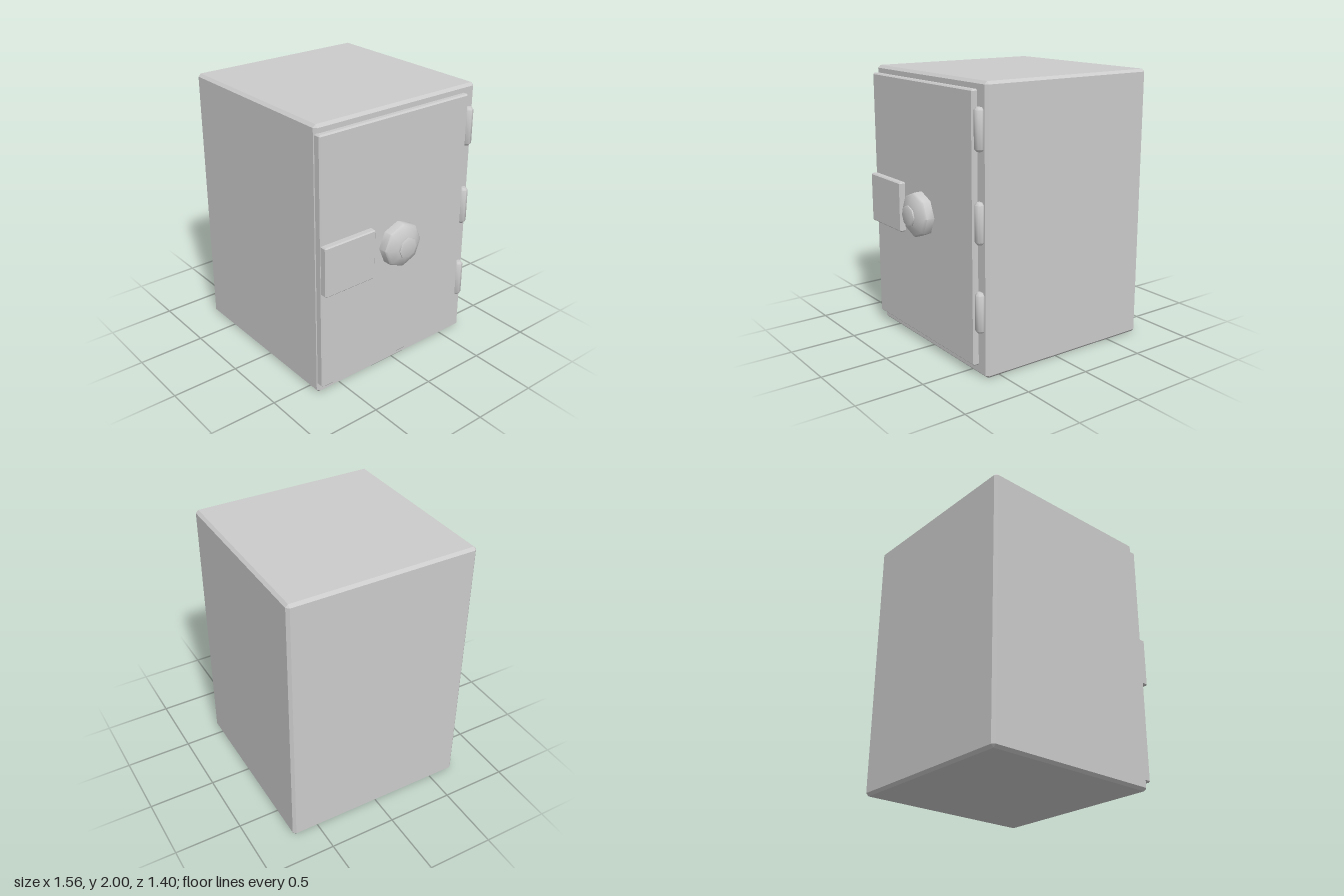
import * as THREE from 'three';
import { ConvexGeometry } from 'three/addons/geometries/ConvexGeometry.js';
import { toCreasedNormals } from 'three/addons/utils/BufferGeometryUtils.js';

const material = new THREE.MeshStandardMaterial({ color: 0xcccccc });

// Box between two corners with every edge chamfered by c
function chamferBox(name, min, max, c) {
  const centre = min.map((v, i) => (v + max[i]) / 2);
  const half = max.map((v, i) => v - centre[i]);
  const points = [];
  for (const sx of [-1, 1]) for (const sy of [-1, 1]) for (const sz of [-1, 1]) {
    for (let axis = 0; axis < 3; axis++) {
      const h = half.map((v, i) => (i === axis ? v : v - c));
      points.push(new THREE.Vector3(sx * h[0], sy * h[1], sz * h[2]));
    }
  }
  const mesh = new THREE.Mesh(new ConvexGeometry(points), material);
  mesh.name = name;
  mesh.position.set(...centre);
  return mesh;
}

// Eight-sided turned part, profile given as [radius, height]
function turned(name, profile) {
  const points = profile.map(([r, h]) => new THREE.Vector2(r, h));
  const geometry = toCreasedNormals(new THREE.LatheGeometry(points, 8), 0.82);
  const mesh = new THREE.Mesh(geometry, material);
  mesh.name = name;
  return mesh;
}

export function createModel() {
  const model = new THREE.Group();
  model.name = 'safe';

  // Cabinet, door and latch plate
  model.add(
    chamferBox('body', [-0.78, 0, -0.7], [0.615, 2, 0.7], 0.02),
    chamferBox('door', [0.58, 0.07, -0.6], [0.655, 1.945, 0.695], 0.01),
    chamferBox('latchPlate', [0.63, 0.82, 0.265], [0.7, 1.19, 0.692], 0.008),
  );

  // Dial with a stepped knob, turned about the x axis
  const dial = turned('dial', [
    [0, 0], [0.163, 0], [0.163, 0.075], [0.15, 0.09], [0.083, 0.116],
    [0.069, 0.118], [0.069, 0.123], [0.079, 0.127], [0.079, 0.134],
    [0.064, 0.14], [0, 0.14],
  ]);
  dial.rotation.z = -Math.PI / 2;
  dial.position.set(0.64, 1.005, 0.032);
  model.add(dial);

  // Three hinge barrels beside the door
  for (const y of [0.465, 1.08, 1.695]) {
    const hinge = turned('hinge', [
      [0, -0.142], [0.02, -0.142], [0.036, -0.125],
      [0.036, 0.125], [0.02, 0.142], [0, 0.142],
    ]);
    hinge.position.set(0.625, y, -0.637);
    model.add(hinge);
  }
  return model;
}
